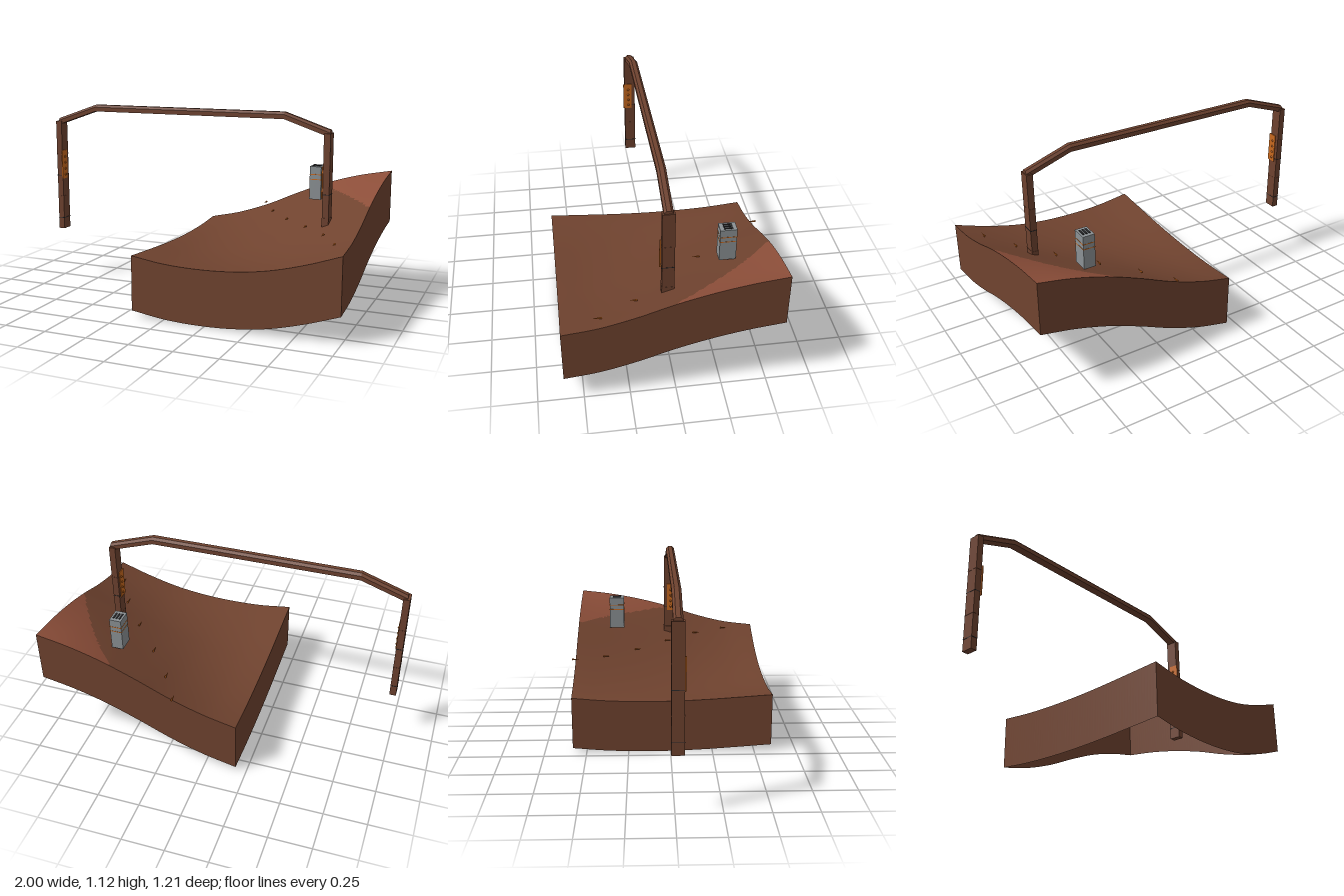
import * as THREE from 'three';

const mat = (name, color, extra = {}) => {
  const m = new THREE.MeshStandardMaterial({ color, ...extra });
  m.name = name;
  return m;
};

// Height profiles of the four terrain borders, evenly spaced
const FRONT = [0.352, 0.325, 0.317, 0.325, 0.352, 0.403, 0.47];
const BACK = [0.34, 0.387, 0.457, 0.546, 0.626, 0.685, 0.725];
const LEFT = [0.352, 0.338, 0.325, 0.317, 0.316, 0.323, 0.34];
const RIGHT = [0.47, 0.495, 0.545, 0.61, 0.662, 0.7, 0.725];
const X0 = -0.187, X1 = 1, Z0 = 0.603, Z1 = -0.583, DEPTH = 0.315, N = 60;

function sample(a, t) {
  const p = THREE.MathUtils.clamp(t, 0, 1) * (a.length - 1);
  const i = Math.min(Math.floor(p), a.length - 2), f = p - i;
  const at = k => k < 0 ? 2 * a[0] - a[1] : k >= a.length ? 2 * a[k - 1] - a[k - 2] : a[k];
  const m0 = (at(i + 1) - at(i - 1)) / 2, m1 = (at(i + 2) - at(i)) / 2;
  return a[i] + f * (m0 + f * (3 * (a[i + 1] - a[i]) - 2 * m0 - m1 + f * (2 * (a[i] - a[i + 1]) + m0 + m1)));
}

// Patch blended from the borders, with a shallow dip in the middle
function heightUV(u, v) {
  const mix = THREE.MathUtils.lerp;
  return mix(sample(FRONT, u), sample(BACK, u), v) + mix(sample(LEFT, v), sample(RIGHT, v), u)
    - mix(mix(FRONT[0], FRONT[6], u), mix(BACK[0], BACK[6], u), v)
    - 0.06 * Math.sin(Math.PI * u) * Math.sin(Math.PI * v);
}
const height = (x, z) => heightUV(
  THREE.MathUtils.clamp((x - X0) / (X1 - X0), 0, 1),
  THREE.MathUtils.clamp((z - Z0) / (Z1 - Z0), 0, 1));
const point = (u, v, drop = 0) => [X0 + (X1 - X0) * u, heightUV(u, v) - drop, Z0 + (Z1 - Z0) * v];

function buffer(positions, index) {
  const g = new THREE.BufferGeometry();
  g.setAttribute('position', new THREE.Float32BufferAttribute(positions, 3));
  g.setIndex(index);
  g.computeVertexNormals();
  return g;
}

function terrainTop() {
  const pos = [], low = [], high = [];
  for (let j = 0; j <= N; j++) for (let i = 0; i <= N; i++) pos.push(...point(i / N, j / N));
  for (let j = 0; j < N; j++) for (let i = 0; i < N; i++) {
    const a = j * (N + 1) + i, b = a + 1, d = a + N + 1, c = d + 1;
    for (const tri of [[a, b, d], [b, c, d]]) {
      const y = tri.reduce((s, k) => s + pos[k * 3 + 1], 0) / 3;
      (y > 0.607 ? high : low).push(...tri);
    }
  }
  const g = buffer(pos, [...low, ...high]);
  g.addGroup(0, low.length, 0);
  g.addGroup(low.length, high.length, 1);
  return g;
}

function skirt(edge) {
  const pos = [], idx = [];
  for (let i = 0; i <= N; i++) {
    const [u, v] = edge(i / N);
    pos.push(...point(u, v, DEPTH), ...point(u, v));
    if (i < N) idx.push(2 * i, 2 * i + 2, 2 * i + 3, 2 * i, 2 * i + 3, 2 * i + 1);
  }
  return buffer(pos, idx);
}

// Chamfered beam lofted along a bent path
function beamGeometry() {
  const path = [[-0.985, 1.008], [-0.72, 1.1], [0.5, 1.1], [0.77, 1.008]];
  const profile = [[-0.025, -0.02], [-0.025, 0.006], [-0.012, 0.02], [0.012, 0.02], [0.025, 0.006], [0.025, -0.02]];
  const n = profile.length, pos = [], idx = [];
  for (const [x, y] of path) for (const [z, dy] of profile) pos.push(x, y + dy, z + 0.015);
  for (let s = 0; s < path.length - 1; s++) for (let k = 0; k < n; k++) {
    const a = s * n + k, b = s * n + (k + 1) % n;
    idx.push(a, b, b + n, a, b + n, a + n);
  }
  const last = (path.length - 1) * n;
  for (let k = 1; k < n - 1; k++) idx.push(0, k + 1, k, last, last + k, last + k + 1);
  const g = buffer(pos, idx).toNonIndexed();
  g.computeVertexNormals();
  return g;
}

export function createModel() {
  const root = new THREE.Group();
  root.name = 'hillsideGate';
  const soil = mat('soil brown', 0x70432f, { side: THREE.DoubleSide });
  const clay = mat('red clay', 0x8c4e39, { side: THREE.DoubleSide });
  const steel = mat('rusty steel', 0x6e422f);
  const orange = mat('orange', 0xc8691f);
  const grey = mat('grey metal', 0x8b9194);
  const dark = mat('dark', 0x2a2a2c);

  const add = (parent, name, geo, material, x = 0, y = 0, z = 0) => {
    const m = new THREE.Mesh(geo, material);
    m.name = name;
    m.position.set(x, y, z);
    parent.add(m);
    return m;
  };
  const box = (parent, name, w, h, d, material, x, y, z) =>
    add(parent, name, new THREE.BoxGeometry(w, h, d), material, x, y, z);

  // Ground: open-bottomed block with a rolling top
  const ground = new THREE.Group();
  ground.name = 'ground';
  root.add(ground);
  add(ground, 'groundTop', terrainTop(), [soil, clay]);
  add(ground, 'frontWall', skirt(t => [t, 0]), soil);
  add(ground, 'rightWall', skirt(t => [1, t]), soil);
  add(ground, 'backWall', skirt(t => [1 - t, 1]), soil);
  add(ground, 'leftWall', skirt(t => [0, 1 - t]), soil);

  // Gate: two posts and a bent overhead beam
  add(root, 'overheadBeam', beamGeometry(), steel);
  for (const [x, inward] of [[-0.98, 1], [0.756, -1]]) {
    const post = new THREE.Group();
    post.name = 'gatePost';
    post.position.set(x, 0, 0.015);
    root.add(post);
    box(post, 'postShaft', 0.038, 0.69, 0.068, steel, 0, 0.665, 0);
    for (const y of [0.39, 0.53, 0.665, 0.8])
      box(post, 'postBand', 0.04, 0.004, 0.071, y === 0.39 || y === 0.665 ? dark : steel, 0, y, 0);
    box(post, 'innerPanel', 0.006, 0.18, 0.055, orange, inward * 0.021, 0.735, 0.015);
    for (let k = 0; k < 4; k++) {
      const stud = add(post, 'panelStud', new THREE.ConeGeometry(0.009, 0.008, 8), orange,
        inward * 0.027, 0.67 + k * 0.038, 0.01);
      stud.rotation.z = -inward * Math.PI / 2;
    }
  }

  // Vented cabinet on the slope
  const cabinet = new THREE.Group();
  cabinet.name = 'cabinet';
  cabinet.position.set(0.6, 0, -0.333);
  root.add(cabinet);
  box(cabinet, 'cabinetBody', 0.07, 0.2, 0.093, grey, 0, 0.668, 0);
  for (const y of [0.69, 0.72]) box(cabinet, 'cabinetStripe', 0.072, 0.005, 0.095, orange, 0, y, 0);
  for (const x of [-0.018, 0, 0.018]) box(cabinet, 'ventSlot', 0.01, 0.006, 0.05, dark, x, 0.769, 0);

  // Tapered marker pegs in a diagonal row
  const pegs = [[0.185, -0.58], [0.295, -0.39], [0.45, -0.19], [0.625, 0.01], [0.785, 0.205], [0.9, 0.405]];
  for (const [x, z] of pegs) {
    const peg = add(root, 'markerPeg', new THREE.ConeGeometry(0.006, 0.05, 6), orange, x, height(x, z) + 0.018, z);
    peg.rotation.x = Math.PI / 2;
  }
  return root;
}
